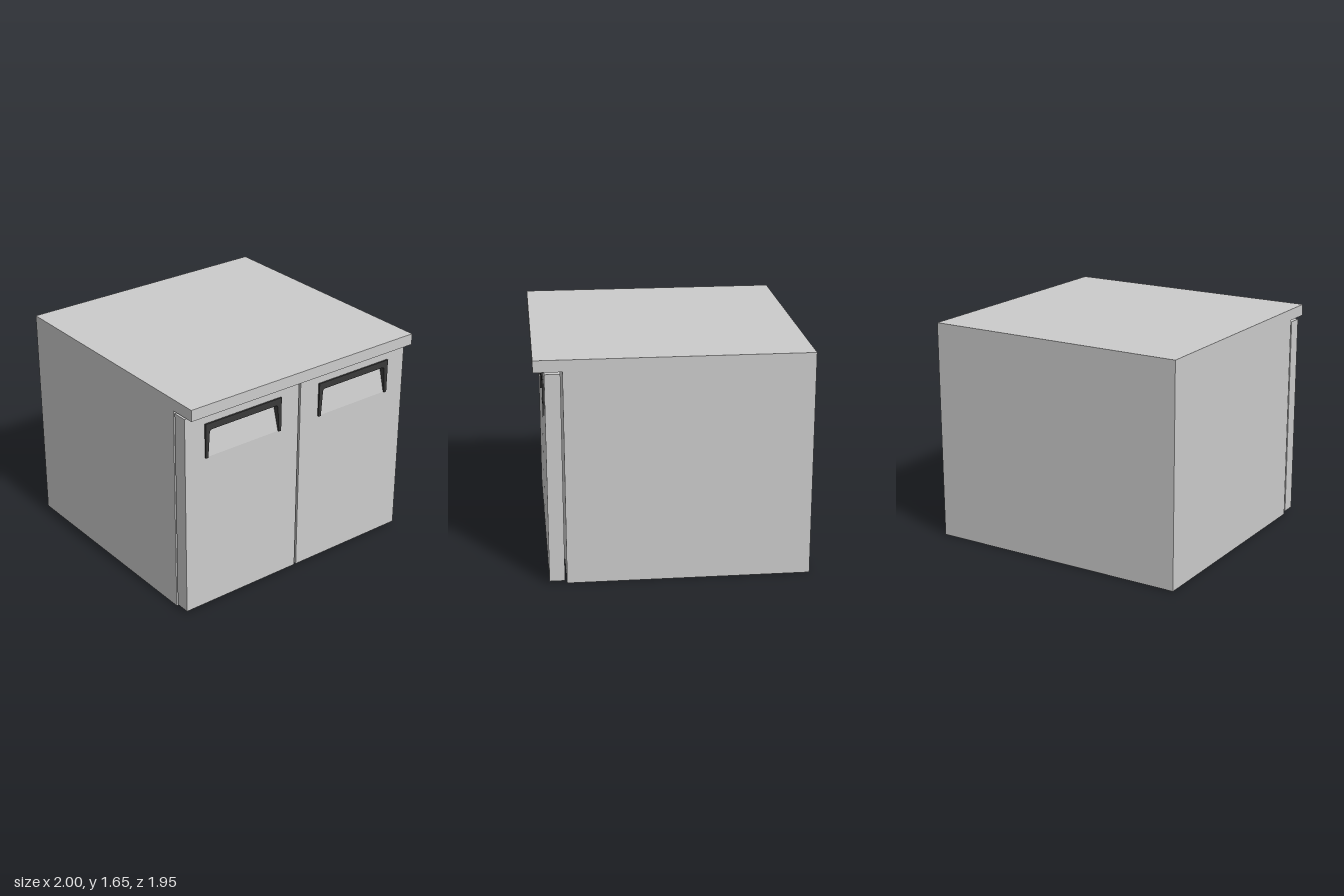
import * as THREE from 'three';

const grey = new THREE.MeshStandardMaterial({ color: 0xcccccc });
const dark = new THREE.MeshStandardMaterial({ color: 0x3a3a3a });

const BACK = 0.79, RECESS = 0.86, FRONT = 0.9, LIP = 0.913; // door depths in z

function polygon(points, Type = THREE.Shape) {
  return new Type(points.map(([x, y]) => new THREE.Vector2(x, y)));
}

function rect(x0, y0, x1, y1, Type) {
  return polygon([[x0, y0], [x1, y0], [x1, y1], [x0, y1]], Type);
}

function add(parent, name, geometry, material = grey) {
  const mesh = new THREE.Mesh(geometry, material);
  mesh.name = name;
  parent.add(mesh);
  return mesh;
}

// Extrude a front-facing outline from z0 to z1
function extrudeZ(shape, z0, z1) {
  return new THREE.ExtrudeGeometry(shape, { depth: z1 - z0, bevelEnabled: false, curveSegments: 6 })
    .translate(0, 0, z0);
}

// Extrude a (z, y) side profile across a width centred on x = 0
function extrudeX(points, width) {
  return new THREE.ExtrudeGeometry(polygon(points), { depth: width, bevelEnabled: false })
    .rotateY(-Math.PI / 2)
    .translate(width / 2, 0, 0);
}

// Door centred on x = 0, with a scooped grip under a dark frame
function createDoor(name) {
  const door = new THREE.Group();
  door.name = name;
  const w = 0.496, y0 = 0.02, y1 = 1.555;
  const hw = 0.33, low = 1.21, high = 1.47;

  add(door, 'doorBack', extrudeZ(rect(-w, y0, w, y1), BACK, RECESS));
  const panel = rect(-w, y0, w, y1);
  panel.holes.push(rect(-hw, low, hw, high, THREE.Path));
  add(door, 'doorFront', extrudeZ(panel, RECESS, FRONT));

  // Sloping floor of the grip, flush with the door at its lower edge
  add(door, 'gripRecess', extrudeX([[RECESS, low], [FRONT, low], [RECESS, 1.425]], 2 * hw - 0.01));

  // Three-sided frame with tapering legs and rounded inner corners
  const frame = new THREE.Shape();
  frame.moveTo(-hw, low);
  frame.lineTo(-0.31, low);
  frame.lineTo(-0.297, 1.4);
  frame.quadraticCurveTo(-0.295, 1.42, -0.275, 1.42);
  frame.lineTo(0.275, 1.42);
  frame.quadraticCurveTo(0.295, 1.42, 0.297, 1.4);
  frame.lineTo(0.31, low);
  frame.lineTo(hw, low);
  frame.lineTo(hw, high);
  frame.lineTo(-hw, high);
  add(door, 'handleFrame', extrudeZ(frame, RECESS, LIP), dark);
  return door;
}

export function createModel() {
  const model = new THREE.Group();
  model.name = 'cabinet';

  // Body with its overhanging top
  add(model, 'cabinetBody', extrudeX([
    [-0.977, 0], [0.775, 0], [0.775, 1.57], [0.977, 1.57], [0.977, 1.655], [-0.977, 1.655],
  ], 2));

  for (const side of [-1, 1]) {
    const door = createDoor(side < 0 ? 'rightDoor' : 'leftDoor');
    door.position.x = side * 0.504;
    model.add(door);
  }
  return model;
}
